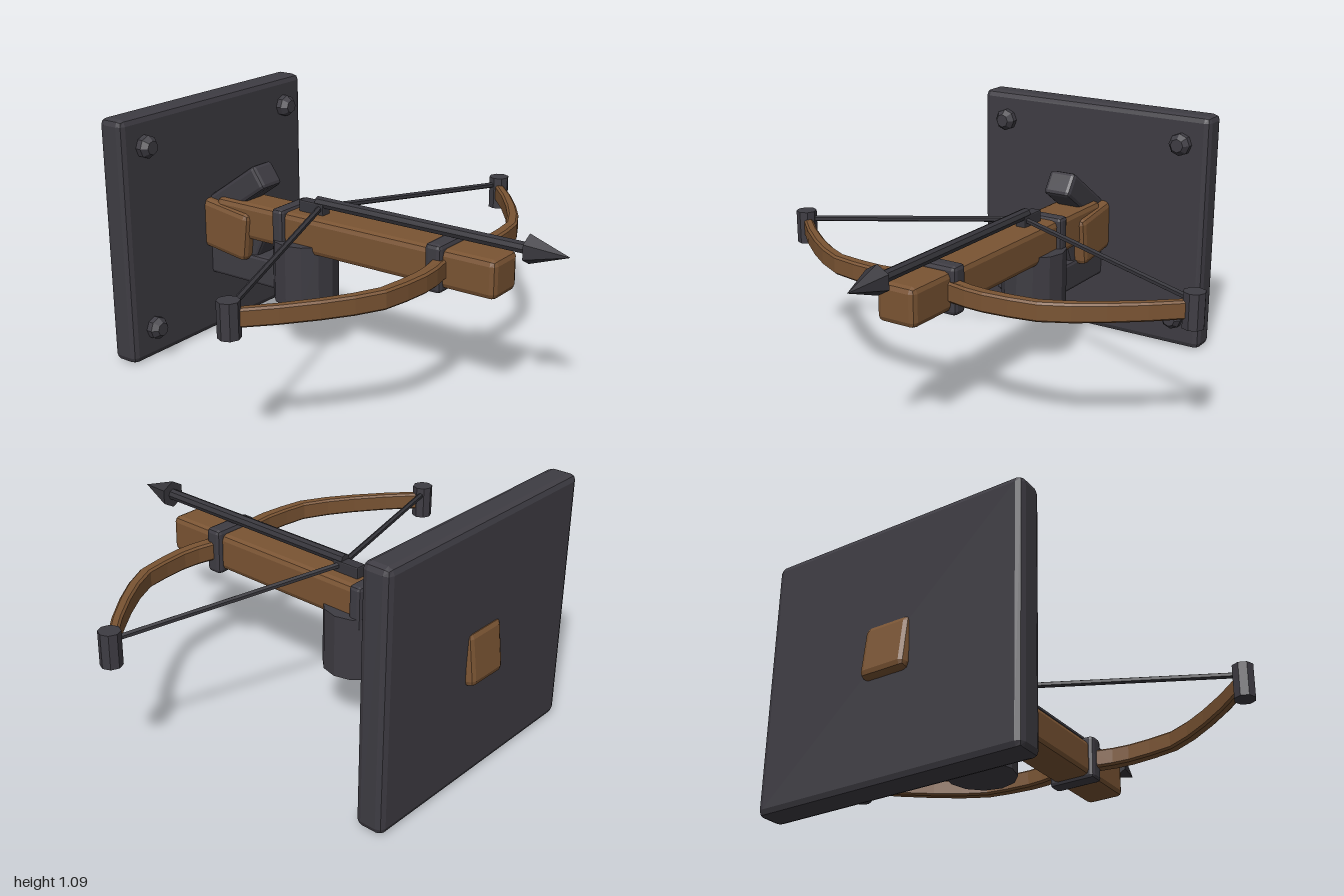
import * as THREE from 'three';
import { RoundedBoxGeometry } from 'three/addons/geometries/RoundedBoxGeometry.js';

export function createModel() {
  const model = new THREE.Group();
  const wood = new THREE.MeshStandardMaterial({ color: 0x7a5433, flatShading: true });
  wood.name = 'wood';
  const iron = new THREE.MeshStandardMaterial({ color: 0x3e3c43, flatShading: true });
  iron.name = 'iron';
  const darkIron = new THREE.MeshStandardMaterial({ color: 0x37363c, flatShading: true });
  darkIron.name = 'darkIron';

  const add = (name, geometry, material, x = 0, y = 0, z = 0, rx = 0) => {
    const mesh = new THREE.Mesh(geometry, material);
    mesh.name = name;
    mesh.position.set(x, y, z);
    mesh.rotation.x = rx;
    model.add(mesh);
    return mesh;
  };
  const box = (w, h, d, r) => new RoundedBoxGeometry(w, h, d, 1, r);

  // Wall plate with four tapered bolts
  add('wallPlate', box(1.17, 1.085, 0.125, 0.028), iron, 0, 0.5425, -0.858);
  for (const x of [-0.455, 0.455]) {
    for (const y of [0.14, 0.955]) {
      add('boltCollar', new THREE.CylinderGeometry(0.05, 0.05, 0.03, 8), iron, x, y, -0.785, Math.PI / 2);
      add('boltHead', new THREE.CylinderGeometry(0.03, 0.05, 0.025, 8), iron, x, y, -0.7575, Math.PI / 2);
    }
  }

  // Wall bracket, swivel and the slanted braces
  add('bracketArm', box(0.14, 0.135, 0.42, 0.015), iron, 0, 0.343, -0.64);
  add('swivel', new THREE.CylinderGeometry(0.144, 0.144, 0.275, 12), iron, 0, 0.3875, -0.31);
  add('upperBrace', box(0.13, 0.115, 0.38, 0.018), iron, 0, 0.665, -0.671, -0.61);
  add('lowerBrace', box(0.12, 0.2, 0.12, 0.015), iron, 0, 0.465, -0.575, 0.45);

  // Stock and butt, the butt narrowing to the rear
  add('stock', box(0.18, 0.165, 1.43, 0.025), wood, 0, 0.5675, -0.03);
  const buttGeometry = box(0.226, 0.222, 0.39, 0.025);
  const bp = buttGeometry.attributes.position;
  for (let i = 0; i < bp.count; i++) {
    if (bp.getZ(i) < 0) bp.setX(i, bp.getX(i) * 0.9);
  }
  add('butt', buttGeometry, wood, 0, 0.517, -0.75, 0.122);

  // Bands around the stock
  add('frontBand', box(0.226, 0.205, 0.076, 0.018), iron, 0, 0.57, 0.412);
  add('rearBand', box(0.22, 0.195, 0.06, 0.016), iron, 0, 0.568, -0.38);

  // Bow: one outline seen from above, thinning to the tips
  const arm = [[0.1, 0.435], [0.18, 0.452], [0.26, 0.458], [0.37, 0.45], [0.48, 0.433],
    [0.59, 0.378], [0.7, 0.305], [0.82, 0.212], [0.95, 0.095]].map(([x, z]) => new THREE.Vector2(x, z));
  const spine = [...arm.map((p) => new THREE.Vector2(-p.x, p.y)).reverse(), ...arm];
  const side = (s) => spine.map((p, i) => {
    const a = spine[Math.max(i - 1, 0)], b = spine[Math.min(i + 1, spine.length - 1)];
    const t = b.clone().sub(a).normalize();
    const half = 0.031 - 0.012 * Math.abs(p.x);
    return new THREE.Vector2(p.x - t.y * half * s, p.y + t.x * half * s);
  });
  const bevel = 0.009;
  const bowGeometry = new THREE.ExtrudeGeometry(new THREE.Shape([...side(1), ...side(-1).reverse()]), {
    depth: 0.085 - 2 * bevel, bevelSize: bevel, bevelThickness: bevel, bevelOffset: -bevel, bevelSegments: 1,
  });
  bowGeometry.translate(0, 0, -0.0425 + bevel).rotateX(Math.PI / 2);
  const wp = bowGeometry.attributes.position;
  for (let i = 0; i < wp.count; i++) wp.setY(i, wp.getY(i) * (1 - 0.13 * Math.abs(wp.getX(i))));
  add('bow', bowGeometry, wood, 0, 0.57, 0);

  // Bow tips and string
  for (const s of [-1, 1]) {
    add('bowTip', new THREE.CylinderGeometry(0.045, 0.045, 0.145, 8), iron, 0.955 * s, 0.568, 0.095);
    const path = new THREE.LineCurve3(new THREE.Vector3(0.95 * s, 0.602, 0.09), new THREE.Vector3(0, 0.678, -0.225));
    add('string', new THREE.TubeGeometry(path, 1, 0.013, 6), darkIron);
  }

  // Loaded bolt and the nut that holds it
  add('nut', box(0.05, 0.06, 0.13, 0.006), darkIron, 0, 0.67, -0.26);
  add('arrowShaft', new THREE.CylinderGeometry(0.025, 0.025, 1.04, 8), darkIron, 0, 0.7, 0.28, Math.PI / 2);
  add('arrowHead', new THREE.ConeGeometry(0.062, 0.175, 6), darkIron, 0, 0.7, 0.8675, Math.PI / 2);

  return model;
}
